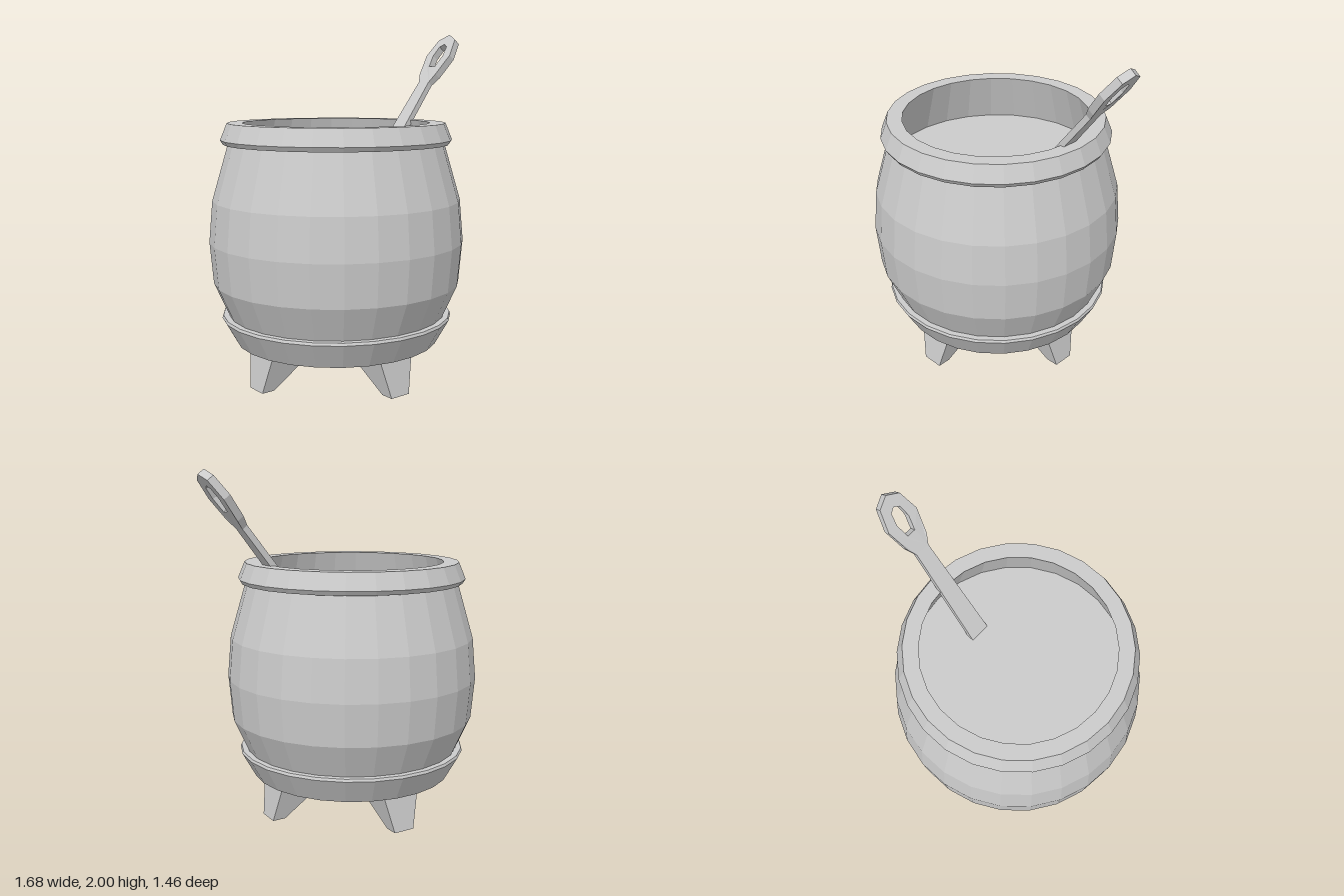
import * as THREE from 'three';

const SIDES = 26;

export function createModel() {
  const model = new THREE.Group();
  model.name = 'cauldron';
  const grey = new THREE.MeshStandardMaterial({ color: 0xcccccc, flatShading: true });

  const pot = new THREE.Group();
  pot.name = 'pot';
  pot.position.x = -0.105;
  model.add(pot);

  const add = (parent, name, geometry) => {
    const mesh = new THREE.Mesh(geometry, grey);
    mesh.name = name;
    parent.add(mesh);
    return mesh;
  };
  const turned = (name, profile) => add(pot, name, new THREE.LatheGeometry(
    profile.map(([r, y]) => new THREE.Vector2(r, y)), SIDES, Math.PI / 2));

  // Bulging body with a small flat underside
  turned('body', [[0, 0.132], [0.325, 0.132], [0.53, 0.225], [0.63, 0.37], [0.714, 0.56],
    [0.735, 0.8], [0.714, 1.037], [0.62, 1.36]]);

  // Rim collar, continuing down as the inner wall
  turned('rim', [[0.615, 1.355], [0.648, 1.355], [0.664, 1.38], [0.625, 1.475],
    [0.537, 1.475], [0.62, 1.185]]);

  // Flared band around the base
  turned('baseBand', [[0.53, 0.24], [0.53, 0.212], [0.59, 0.212], [0.67, 0.355],
    [0.664, 0.37], [0.62, 0.37]]);

  // Surface of the contents
  const contents = add(pot, 'contents', new THREE.CircleGeometry(0.63, SIDES).rotateX(-Math.PI / 2));
  contents.position.y = 1.19;

  // Four tapered legs; z is the distance from the pot's axis
  const legGeometry = new THREE.BoxGeometry(1, 1, 1);
  const p = legGeometry.attributes.position;
  for (let i = 0; i < p.count; i++) {
    const top = p.getY(i) > 0, outer = p.getZ(i) > 0;
    const halfWidth = top ? 0.117 : 0.063;
    const z = top ? (outer ? 0.528 : 0.22) : (outer ? 0.568 : 0.49);
    p.setXYZ(i, Math.sign(p.getX(i)) * halfWidth, top ? 0.222 : 0, z);
  }
  ['frontLeg', 'leftLeg', 'backLeg', 'rightLeg'].forEach((name, i) => {
    add(pot, name, legGeometry).rotation.y = i * Math.PI / 2;
  });

  // Leaning spoon: half outline from the tip of the eye down the handle
  const half = [[0.07, -0.04], [0.102, -0.165], [0.07, -0.31], [0.043, -0.37], [0.061, -1.06]];
  const mirrored = half.map(([x, y]) => [-x, y]).reverse();
  const toPoints = (list) => list.map(([x, y]) => new THREE.Vector2(x, y));
  const outline = new THREE.Shape(toPoints([[0, 0], ...half, ...mirrored]));
  outline.holes.push(new THREE.Path(toPoints([[0, -0.075], [-0.03, -0.095], [-0.042, -0.165],
    [-0.025, -0.25], [0.025, -0.25], [0.042, -0.165], [0.03, -0.095]])));
  const thickness = 0.045;
  const spoonGeometry = new THREE.ExtrudeGeometry(outline, { depth: thickness, bevelEnabled: false });
  spoonGeometry.translate(0, 0, -thickness / 2);

  // Thin the handle below the eye
  const s = spoonGeometry.attributes.position;
  for (let i = 0; i < s.count; i++) if (s.getY(i) < -0.36) s.setZ(i, s.getZ(i) * 0.78);
  spoonGeometry.rotateY(Math.PI / 2).rotateZ(-0.658);
  add(model, 'spoon', spoonGeometry).position.set(0.822, 1.984, 0);

  return model;
}
